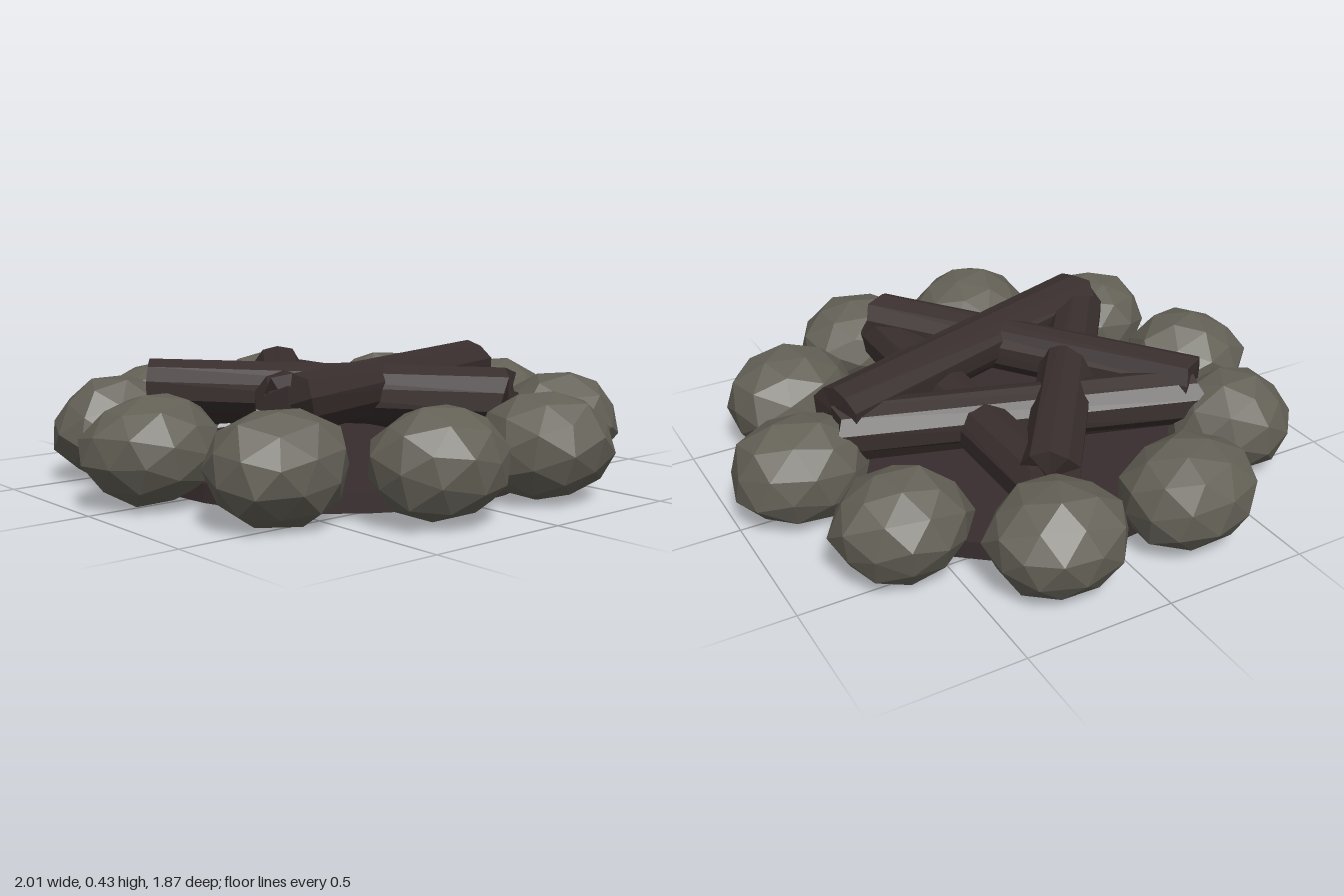
import * as THREE from 'three';
import { mergeVertices } from 'three/addons/utils/BufferGeometryUtils.js';

const stone = new THREE.MeshStandardMaterial({ color: 0x636056 });
stone.name = 'stone';
const charredWood = new THREE.MeshStandardMaterial({ color: 0x382e2d });
charredWood.name = 'charred wood';
const ash = new THREE.MeshStandardMaterial({ color: 0x382d2e });
ash.name = 'ash';
for (const m of [stone, charredWood, ash]) m.flatShading = true;

// Small seeded generator giving values from 0 to 1
function seeded(seed) {
  let s = seed * 7919 + 17;
  return () => {
    s = (s * 16807) % 2147483647;
    return s / 2147483647;
  };
}

// Rough faceted stone fitted to the given half sizes
function rockGeometry(seed, hx, hy, hz) {
  const rand = seeded(seed);
  rand();
  let geo = new THREE.IcosahedronGeometry(1, 1);
  geo.deleteAttribute('normal');
  geo.deleteAttribute('uv');
  geo = mergeVertices(geo, 1e-3);
  const p = geo.attributes.position;
  const v = new THREE.Vector3();
  for (let i = 0; i < p.count; i++) {
    v.fromBufferAttribute(p, i).multiplyScalar(0.94 + 0.1 * rand());
    p.setXYZ(i, v.x, v.y, v.z);
  }
  geo.rotateX(rand() * 6);
  geo.rotateY(rand() * 6);
  geo.center();
  const b = geo.boundingBox;
  geo.scale(hx / b.max.x, hy / b.max.y, hz / b.max.z);
  geo.computeVertexNormals();
  return geo;
}

// Log between two points, with slightly uneven sawn ends
function logMesh(a, b, radius, seed) {
  const rand = seeded(seed);
  rand();
  const sides = 10;
  const length = a.distanceTo(b);
  const offsets = Array.from({ length: sides * 2 }, () => [0.95 + 0.1 * rand(), (rand() - 0.5) * 0.05]);
  const geo = new THREE.CylinderGeometry(radius, radius, length, sides, 1);
  const p = geo.attributes.position;
  for (let i = 0; i < p.count; i++) {
    const x = p.getX(i), y = p.getY(i), z = p.getZ(i);
    if (Math.hypot(x, z) < 0.01) continue; // end centres stay put
    const side = (Math.round(Math.atan2(x, z) / (2 * Math.PI) * sides) + sides) % sides;
    const [k, dy] = offsets[side + (y > 0 ? sides : 0)];
    p.setXYZ(i, x * k, y + dy, z * k);
  }
  geo.computeVertexNormals();
  const mesh = new THREE.Mesh(geo, charredWood);
  mesh.position.copy(a).add(b).multiplyScalar(0.5);
  mesh.quaternion.setFromUnitVectors(new THREE.Vector3(0, 1, 0), b.clone().sub(a).normalize());
  return mesh;
}

export function createModel() {
  const model = new THREE.Group();
  model.name = 'campfire';

  // Ash bed
  const bed = new THREE.Mesh(new THREE.CylinderGeometry(0.68, 0.68, 0.065, 32), ash);
  bed.name = 'ashBed';
  bed.position.y = 0.048;
  model.add(bed);

  // Ring of ten stones
  const ring = new THREE.Group();
  ring.name = 'stoneRing';
  for (let i = 0; i < 10; i++) {
    const t = i * Math.PI / 5;
    const rock = new THREE.Mesh(rockGeometry(i + 1, 0.228, 0.175, 0.195), stone);
    rock.name = 'stone' + (i + 1);
    rock.position.set(0.775 * Math.cos(t), i % 2 ? 0.18 : 0.175, 0.78 * Math.sin(t));
    ring.add(rock);
  }
  model.add(ring);

  // Five logs stacked as a star, from lowest to highest
  const logs = new THREE.Group();
  logs.name = 'logStack';
  const tip = (k, y) => {
    const t = k * 2 * Math.PI / 5;
    return new THREE.Vector3(0.645 * Math.cos(t), y, 0.645 * Math.sin(t));
  };
  const order = [[1, 4, 0.25], [0, 3, 0.27], [4, 2, 0.295], [3, 1, 0.317], [2, 0, 0.338]];
  order.forEach(([from, to, y], i) => {
    const log = logMesh(tip(from, y), tip(to, y), 0.098, i + 20);
    log.name = 'log' + (i + 1);
    logs.add(log);
  });
  model.add(logs);

  return model;
}
